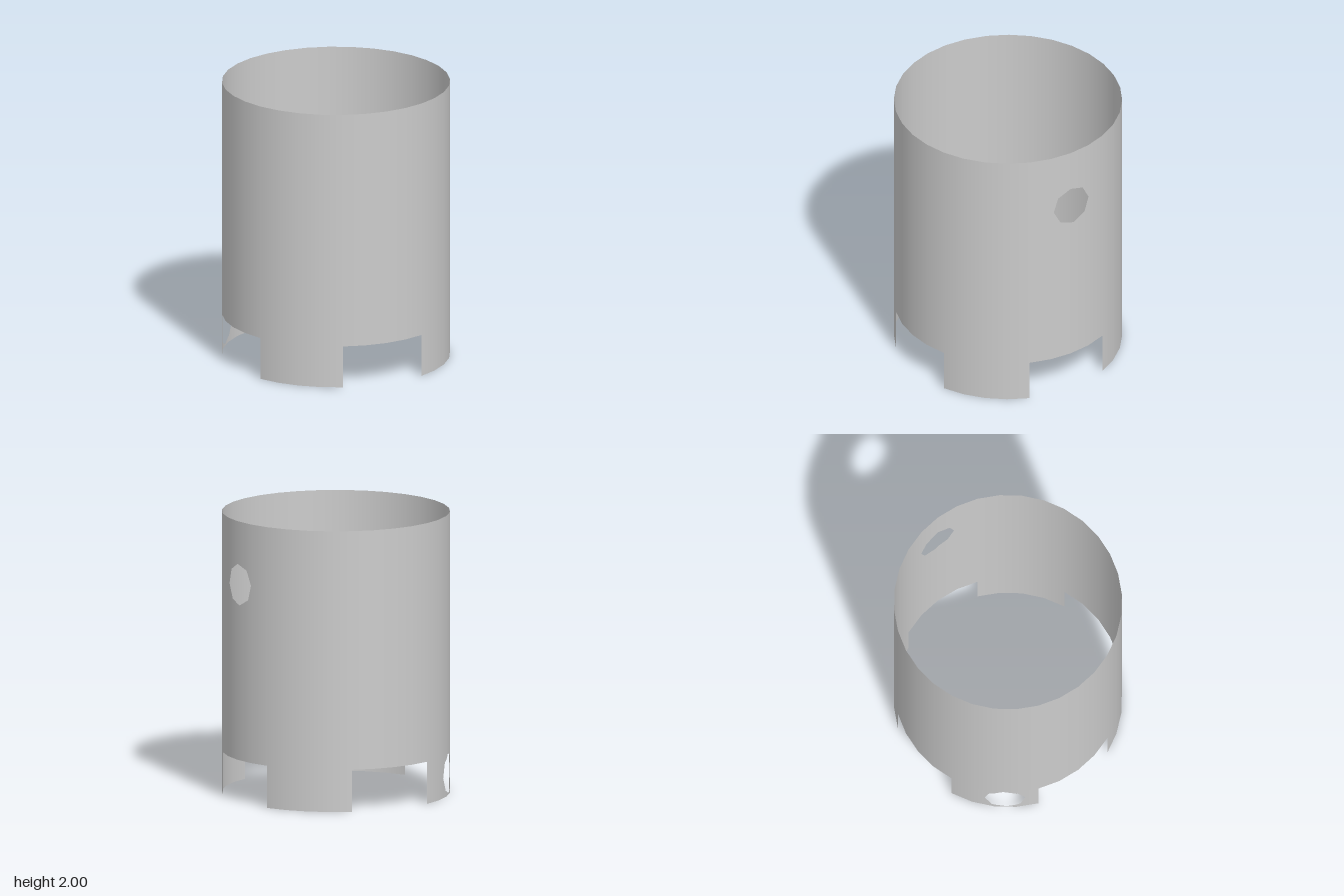
import * as THREE from 'three';

const R = 0.8, STEP = Math.PI / 16, DEG = Math.PI / 180;

// Point on the 32-sided ring; angle runs from +z towards +x
function ringPoint(a, y) {
  const off = a - (Math.floor(a / STEP + 1e-6) + 0.5) * STEP;
  const r = R * Math.cos(STEP / 2) / Math.cos(off);
  return [r * Math.sin(a), y, r * Math.cos(a)];
}

// Slightly turned octagon as [angle, height] corners
function octagonHole(angle, y, r) {
  return Array.from({ length: 8 }, (_, k) => {
    const t = (95 + 45 * k) * DEG;
    return [angle + Math.asin(r * Math.cos(t) / R), y + r * Math.sin(t)];
  });
}

// Lower and upper edge of the hole at one angle
function holeSpan(hole, a) {
  const ys = [];
  hole.forEach(([a0, y0], i) => {
    const [a1, y1] = hole[(i + 1) % hole.length];
    if (a < Math.min(a0, a1) - 1e-7 || a > Math.max(a0, a1) + 1e-7) return;
    ys.push(y0 + (y1 - y0) * (a - a0) / (a1 - a0));
  });
  return ys.length ? [Math.min(...ys), Math.max(...ys)] : null;
}

// Curved sheet between two angles and heights, with an optional hole
function curvedSheet(name, a0, a1, y0, y1, hole, material) {
  const angles = hole ? hole.map((p) => p[0]) : [];
  const count = Math.round((a1 - a0) / STEP);
  for (let i = 0; i <= count; i++) angles.push(a0 + i * STEP);
  angles.sort((p, q) => p - q);

  const pos = [], nor = [];
  const quad = (a, b, la, lb, ha, hb) => {
    for (const [t, y] of [[a, la], [b, lb], [b, hb], [a, la], [b, hb], [a, ha]]) {
      pos.push(...ringPoint(t === b ? b - 1e-5 : a, y));
      nor.push(Math.sin(t), 0, Math.cos(t));
    }
  };
  for (let i = 0; i < angles.length - 1; i++) {
    const a = angles[i], b = angles[i + 1];
    if (b - a < 1e-5) continue;
    const inside = hole && holeSpan(hole, (a + b) / 2);
    if (inside) {
      const sa = holeSpan(hole, a), sb = holeSpan(hole, b);
      quad(a, b, y0, y0, sa[0], sb[0]);
      quad(a, b, sa[1], sb[1], y1, y1);
    } else quad(a, b, y0, y0, y1, y1);
  }
  const geo = new THREE.BufferGeometry();
  geo.setAttribute('position', new THREE.Float32BufferAttribute(pos, 3));
  geo.setAttribute('normal', new THREE.Float32BufferAttribute(nor, 3));
  const mesh = new THREE.Mesh(geo, material);
  mesh.name = name;
  return mesh;
}

export function createModel() {
  const group = new THREE.Group();
  group.name = 'slottedTube';
  const material = new THREE.MeshStandardMaterial({ color: 0xcccccc, side: THREE.DoubleSide });

  // Main wall, open at both ends, with a round hole high on the +x side
  const wallHole = octagonHole(Math.PI / 2 + 0.016, 1.55, 0.147);
  group.add(curvedSheet('wall', 0, 2 * Math.PI, 0.3, 2, wallHole, material));

  // Four legs on the diagonals; the one at -x, -z has a hole
  const legHole = octagonHole(230.5 * DEG, 0.153, 0.144);
  ['frontLeftLeg', 'backLeftLeg', 'backRightLeg', 'frontRightLeg'].forEach((name, i) => {
    const start = 2 * STEP + i * Math.PI / 2;
    group.add(curvedSheet(name, start, start + 4 * STEP, 0, 0.3, i === 2 ? legHole : null, material));
  });
  return group;
}
